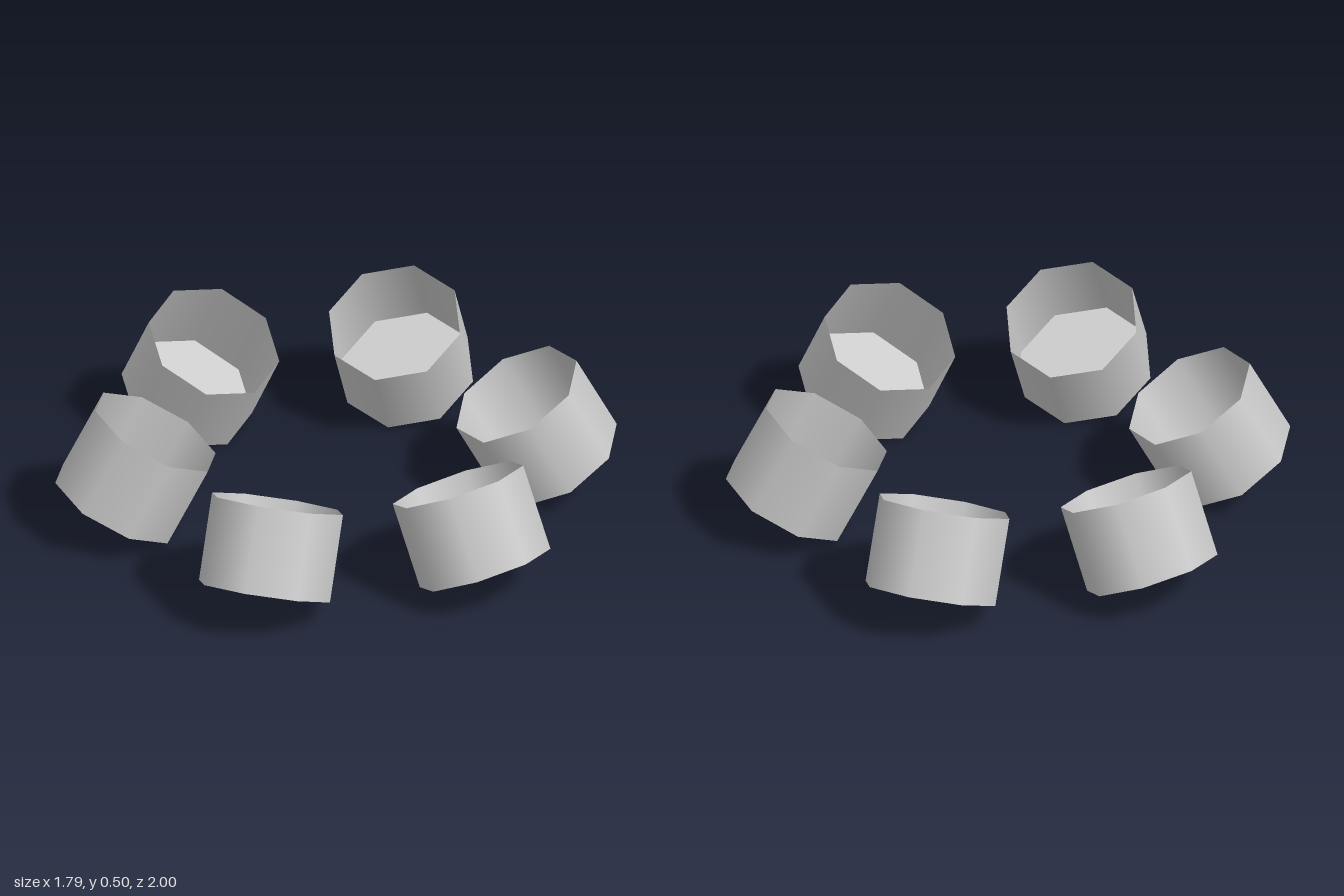
import * as THREE from 'three';

const COUNT = 6, SIDES = 8;
const RADIUS = 0.241, HEIGHT = 0.31;
const RING = 0.714, LIFT = 0.255, TILT = 0.48;

export function createModel() {
  const model = new THREE.Group();
  model.name = 'cupRing';
  const material = new THREE.MeshStandardMaterial({ color: 0xcccccc, side: THREE.DoubleSide });

  // Thin open wall and flat floor shared by all cups
  const wallGeometry = new THREE.CylinderGeometry(RADIUS, RADIUS, HEIGHT, SIDES, 1, true);
  const floorGeometry = new THREE.CircleGeometry(RADIUS, SIDES)
    .rotateX(Math.PI / 2)
    .translate(0, -HEIGHT / 2, 0);

  // Octagonal cups in a ring, open mouths leaning toward the centre
  for (let i = 0; i < COUNT; i++) {
    const arm = new THREE.Group();
    arm.name = `cupArm${i + 1}`;
    arm.rotation.y = (i / COUNT) * Math.PI * 2;

    const cup = new THREE.Group();
    cup.name = `cup${i + 1}`;
    cup.position.set(0, LIFT, RING);
    cup.rotation.x = -TILT;

    const wall = new THREE.Mesh(wallGeometry, material);
    wall.name = 'cupWall';
    const floor = new THREE.Mesh(floorGeometry, material);
    floor.name = 'cupFloor';

    cup.add(wall, floor);
    arm.add(cup);
    model.add(arm);
  }
  return model;
}
